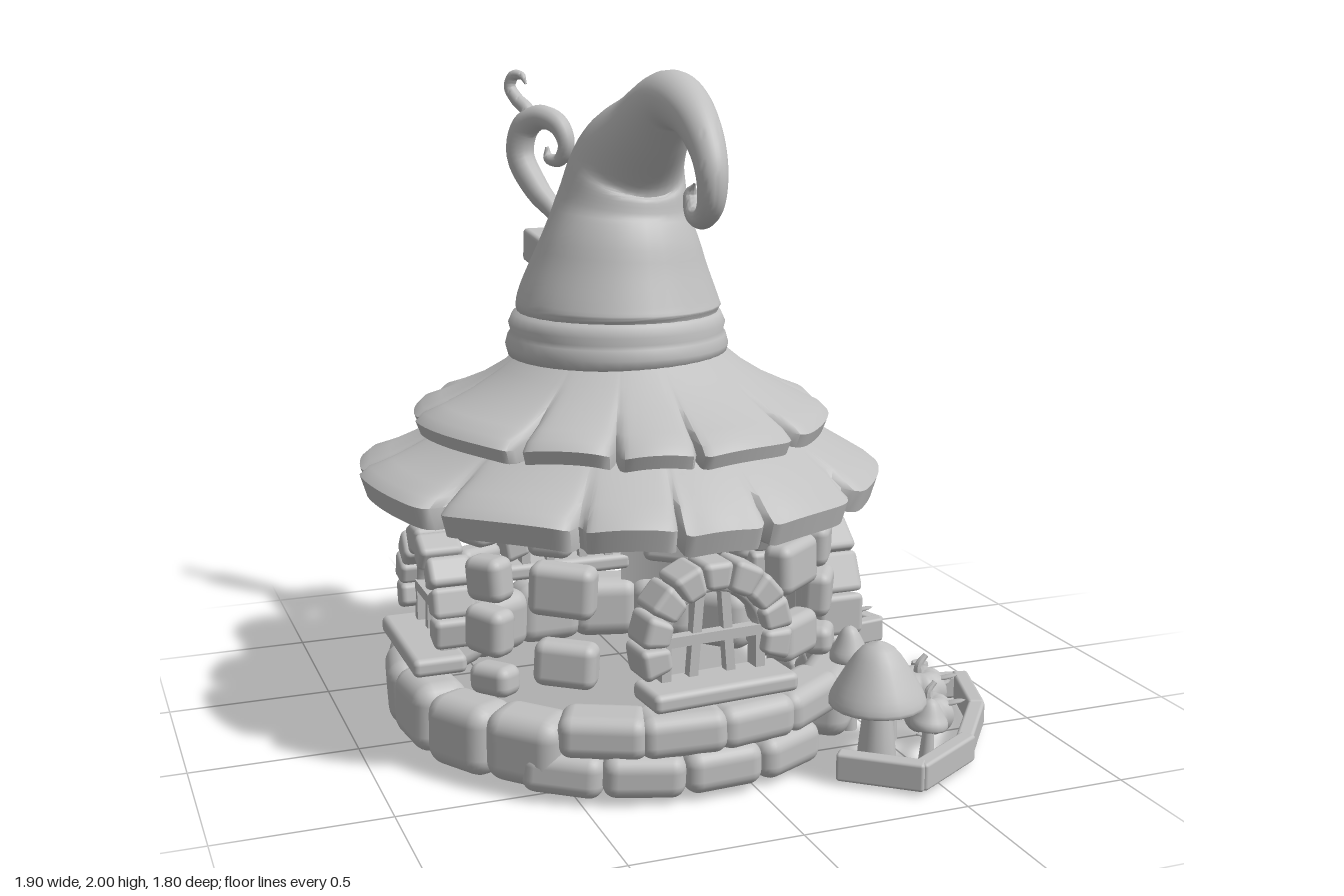
import * as THREE from 'three';
import { mergeVertices, toCreasedNormals } from 'three/addons/utils/BufferGeometryUtils.js';
import { RoundedBoxGeometry } from 'three/addons/geometries/RoundedBoxGeometry.js';

const clay = new THREE.MeshStandardMaterial({ color: 0xc0c0c0, side: THREE.DoubleSide });
clay.name = 'grey clay';

let seed = 7;
const rnd = () => (seed = (seed * 16807) % 2147483647) / 2147483647;
const vary = (a) => (rnd() - 0.5) * 2 * a;

function add(parent, name, geo, x = 0, y = 0, z = 0) {
  const m = new THREE.Mesh(geo, clay);
  m.name = name;
  m.position.set(x, y, z);
  parent.add(m);
  return m;
}

function group(parent, name, x = 0, y = 0, z = 0) {
  const g = new THREE.Group();
  g.name = name;
  g.position.set(x, y, z);
  parent.add(g);
  return g;
}

// Group on the round wall; its +z points outwards
function facing(parent, name, theta, r) {
  const g = group(parent, name, Math.sin(theta) * r, 0, Math.cos(theta) * r);
  g.rotation.y = theta;
  return g;
}

// Surface over a grid: u runs around, v runs along
function grid(nu, nv, at, skip = () => false) {
  const pos = [], idx = [];
  for (let j = 0; j <= nv; j++)
    for (let i = 0; i <= nu; i++) pos.push(...at((i % nu) / nu, j));
  for (let j = 0; j < nv; j++)
    for (let i = 0; i < nu; i++) {
      if (skip(i / nu, j)) continue;
      const a = j * (nu + 1) + i, c = a + nu + 1;
      idx.push(a, c, a + 1, a + 1, c, c + 1);
    }
  const g = new THREE.BufferGeometry();
  g.setAttribute('position', new THREE.Float32BufferAttribute(pos, 3));
  g.setIndex(idx);
  return toCreasedNormals(mergeVertices(g), 0.75);
}

// Tapered tube through [x, y, z, radius] points, lying near one plane with normal "side"
function sweep(pts, side, sides = 20, steps = 60) {
  const path = new THREE.CatmullRomCurve3(pts.map((p) => new THREE.Vector3(p[0], p[1], p[2])));
  const radius = new THREE.SplineCurve(pts.map((p, i) => new THREE.Vector2(i, p[3])));
  return grid(sides, steps, (u, j) => {
    const t = j / steps, T = path.getTangent(t);
    const N = T.clone().cross(side).normalize(), S = N.clone().cross(T);
    const r = Math.max(radius.getPoint(t).y, 0.002), a = -u * Math.PI * 2;
    return path.getPoint(t).addScaledVector(S, Math.cos(a) * r).addScaledVector(N, Math.sin(a) * r).toArray();
  });
}

function stone(parent, name, w, h, d, x, y, z) {
  const m = add(parent, name, new RoundedBoxGeometry(w, h, d, 3, Math.min(w, h, d) * 0.34), x, y, z);
  m.rotation.set(vary(0.05), vary(0.05), vary(0.06));
  return m;
}

// Wedge stones set along an arc
function archStones(parent, name, cy, r0, r1, a0, a1, n, depth) {
  const rm = (r0 + r1) / 2, step = (a1 - a0) / n;
  for (let i = 0; i < n; i++) {
    const a = a0 + step * (i + 0.5), h = (r1 - r0) * (1 + vary(0.08));
    const g = new RoundedBoxGeometry(rm * step * 0.97, h, depth, 2, 0.018), p = g.attributes.position;
    for (let k = 0; k < p.count; k++) p.setX(k, p.getX(k) * (1 + p.getY(k) / rm));
    const m = add(parent, name, g, Math.sin(a) * rm, cy + Math.cos(a) * rm, vary(0.008));
    m.rotation.z = -a;
  }
}

// Ring of drooping shingles; rows are [radius, y, shingle influence]
function shingles(rows, n, phase, depth, hole) {
  const sizes = Array.from({ length: n }, () => vary(1));
  return grid(n * 26, rows.length - 1, (u, j) => {
    const th = u * Math.PI * 2, [r, y, k] = rows[j];
    const q = (u * n + 0.3 * Math.sin(th * 3 + phase) + phase + n) % n;
    const s = Math.abs((q % 1) * 2 - 1), size = sizes[Math.floor(q)] * (1 - s ** 8);
    const R = r + k * (size * 0.025 - depth * s ** 18 - 0.008 * s * s);
    const Y = y + k * (size * 0.022 + 0.016 * (0.5 - s * s) + 0.02 * s ** 18);
    return [Math.sin(th) * R, Y, Math.cos(th) * R];
  }, (u, j) => hole(u * Math.PI * 2, j));
}

function windowUnit(parent, theta) {
  const w = facing(parent, 'window', theta, 0.6);
  archStones(w, 'windowArchStone', 0.43, 0.15, 0.235, -1.95, 1.95, 9, 0.13);
  stone(w, 'windowSill', 0.45, 0.055, 0.16, 0, 0.3, 0.04).rotation.set(0, 0, 0);
  const frame = add(w, 'windowFrame', new THREE.TorusGeometry(0.15, 0.016, 6, 20, Math.PI), 0, 0.43, 0);
  frame.scale.z = 1.6;
  for (const s of [-1, 1]) {
    add(w, 'frameSide', new THREE.BoxGeometry(0.03, 0.12, 0.05), s * 0.148, 0.375, 0);
    add(w, 'windowBar', new THREE.BoxGeometry(0.028, 0.25, 0.03), s * 0.05, 0.44, 0).rotation.z = s * 0.08;
  }
  add(w, 'windowCrossbar', new THREE.BoxGeometry(0.3, 0.03, 0.035), 0, 0.44, 0.01);
}

function doorUnit(parent) {
  const d = facing(parent, 'door', Math.PI / 2, 0.6);
  d.position.z += 0.02;
  archStones(d, 'doorRingStone', 0.34, 0.228, 0.31, 0, Math.PI * 2, 14, 0.15);
  // Round door cut into upright planks
  for (let i = 0; i < 6; i++) {
    const x = -0.19 + i * 0.076, h = 2 * Math.sqrt(0.235 ** 2 - x * x);
    add(d, 'doorPlank', new RoundedBoxGeometry(0.075, h, 0.04, 2, 0.008), x, 0.34, 0);
  }
  for (const y of [0.21, 0.39]) {
    const hinge = add(d, 'hinge', new THREE.ConeGeometry(0.035, 0.18, 4), -0.12, y, 0.028);
    hinge.rotation.z = -Math.PI / 2;
    hinge.scale.z = 0.35;
  }
  add(d, 'lockPlate', new RoundedBoxGeometry(0.055, 0.1, 0.018, 2, 0.007), 0.1, 0.29, 0.028);
  add(d, 'knocker', new THREE.TorusGeometry(0.026, 0.008, 8, 16), 0.1, 0.265, 0.045);
  add(d, 'knob', new THREE.SphereGeometry(0.018, 10, 8), 0.1, 0.3, 0.045);
  stone(d, 'doorStep', 0.4, 0.05, 0.16, 0, 0.025, 0.05).rotation.set(0, 0, 0);
}

function mushroom(parent, x, z, r, capY, capH) {
  const m = group(parent, 'mushroom', x, 0, z);
  m.rotation.z = vary(0.06);
  const lathe = (pts, n) => new THREE.LatheGeometry(new THREE.SplineCurve(pts.map((p) => new THREE.Vector2(...p))).getPoints(16), n);
  add(m, 'mushroomCap', lathe([[r * 0.2, 0.015], [r * 0.9, -0.008], [r, 0.01], [r * 0.76, capH * 0.42], [r * 0.38, capH * 0.86], [0.001, capH]], 20), 0, capY, 0);
  add(m, 'mushroomStem', lathe([[r * 0.42, 0.02], [r * 0.38, capY * 0.4], [r * 0.25, capY + 0.02]], 12));
}

function pumpkin(parent, x, z, r) {
  const g = group(parent, 'pumpkin', x, 0.03 + r * 0.75, z);
  const geo = new THREE.SphereGeometry(r, 40, 14), p = geo.attributes.position;
  for (let i = 0; i < p.count; i++) {
    const a = Math.atan2(p.getZ(i), p.getX(i)), k = 0.86 + 0.14 * Math.abs(Math.cos(a * 4));
    const hollow = 1 - 0.3 * Math.exp(-((Math.hypot(p.getX(i), p.getZ(i)) / r) ** 2) * 8);
    p.setXYZ(i, p.getX(i) * k, p.getY(i) * 0.82 * hollow, p.getZ(i) * k);
  }
  geo.computeVertexNormals();
  add(g, 'pumpkinBody', geo);
  add(g, 'pumpkinStem', sweep([[0, r * 0.5, 0, r * 0.22], [0, r * 0.9, 0, r * 0.14], [r * 0.25, r * 1.2, 0, r * 0.1]], new THREE.Vector3(0, 0, 1), 8, 8));
  for (const a of [0.6, 2.4]) leaf(g, Math.cos(a) * r * 0.9, r * 0.5, Math.sin(a) * r * 0.9, a);
}

function leaf(parent, x, y, z, a) {
  const m = add(parent, 'leaf', new THREE.SphereGeometry(0.04, 8, 6), x, y, z);
  m.scale.set(1, 0.15, 0.5);
  m.rotation.set(0, -a, 0.3);
}

// Low border of separate beams
function garden(parent, s) {
  const g = group(parent, s > 0 ? 'frontGarden' : 'backGarden');
  const pts = [[0.54, 0.23], [0.88, 0.29], [0.8, 0.52], [0.64, 0.74], [0.42, 0.88], [0.24, 0.73]];
  for (let i = 0; i + 1 < pts.length; i++) {
    const [x0, z0] = pts[i], [x1, z1] = pts[i + 1], dx = x1 - x0, dz = (z1 - z0) * s;
    const beam = add(g, 'borderBeam', new RoundedBoxGeometry(Math.hypot(dx, dz) + 0.02, 0.08 + vary(0.006), 0.05, 2, 0.01), (x0 + x1) / 2, 0.054, ((z0 + z1) / 2) * s);
    beam.rotation.y = -Math.atan2(dz, dx) + vary(0.03);
  }
}

export function createModel() {
  seed = 7;
  const root = new THREE.Group();
  root.name = 'hatCottage';
  const house = group(root, 'house', -0.15, 0, -0.02);

  // Stone footing, left open at the door; two courses under the front window
  const H = Math.PI / 2;
  for (let i = 0; i < 16; i++) {
    const step = (Math.PI * 2 - 1.04) / 16, th = H + 0.52 + (i + 0.5) * step;
    if (i > 10 && i < 15) {
      stone(facing(house, 'footing', th, 0.65), 'footingStone', 0.255, 0.125, 0.16, 0, 0.19, 0);
      stone(facing(house, 'footing', th - step / 2, 0.665), 'footingStone', 0.235, 0.125, 0.15, 0, 0.08, 0);
    } else stone(facing(house, 'footing', th, 0.655), 'footingStone', 0.24, 0.21, 0.17, 0, 0.13 + vary(0.01), 0);
  }

  // Plaster wall on the sheltered corner
  add(house, 'plasterWall', new THREE.CylinderGeometry(0.575, 0.61, 0.5, 16, 1, true, H + 0.4, H - 0.72), 0, 0.45, 0);
  add(house, 'plasterBand', new THREE.CylinderGeometry(0.555, 0.575, 0.2, 24, 1, true, H - 0.2, H + 0.5), 0, 0.74, 0);

  // Loose wall stones between the openings
  const spots = [[-0.24, 0.43, 0.14, 0.14], [0.18, 0.37, 0.18, 0.13], [0.16, 0.58, 0.19, 0.15], [-0.25, 0.58, 0.13, 0.13], [0.1, 0.72, 0.13, 0.09], [-0.2, 0.29, 0.14, 0.09], [-0.34, 0.71, 0.12, 0.08]];
  for (let q = 0; q < 4; q++)
    for (const [o, y, w, h] of spots) {
      const f = facing(house, 'wallStones', Math.PI / 4 + q * H + (q % 2 ? o : -o), 0.63 - y * 0.06);
      stone(f, 'wallStone', w, h, 0.09, 0, y, 0);
    }

  for (const th of [0.08, Math.PI, -H]) windowUnit(house, th);
  doorUnit(house);

  // Two tiers of roof shingles with a gap at the back
  const gap = (th) => th > 3.52 && th < 3.92;
  add(house, 'lowerRoof', shingles([[0.42, 1.03, 0], [0.5, 0.97, 0], [0.6, 0.91, 0.1], [0.7, 0.855, 0.5], [0.755, 0.825, 1], [0.785, 0.8, 1], [0.765, 0.735, 1], [0.72, 0.735, 1], [0.54, 0.83, 0]], 13, 0.3, 0.09,
    (th, j) => gap(th) && j < 3));
  add(house, 'upperRoof', shingles([[0.29, 1.18, 0], [0.37, 1.115, 0], [0.46, 1.06, 0.15], [0.55, 1.015, 0.6], [0.605, 0.99, 1], [0.63, 0.965, 1], [0.615, 0.925, 1], [0.57, 0.925, 1], [0.44, 1.02, 0]], 11, 0.75, 0.1,
    (th, j) => gap(th) && j > 1));

  // Pointed hat top with a folded crown and curled tip
  const band = [[0.3, 1.14], [0.33, 1.15], [0.338, 1.18], [0.33, 1.21], [0.322, 1.222], [0.328, 1.245], [0.315, 1.275], [0.28, 1.29]];
  add(house, 'hatBand', new THREE.LatheGeometry(band.map((p) => new THREE.Vector2(...p)), 40), -0.015, 0, -0.01);
  add(root, 'hat', sweep([
    [-0.16, 1.27, -0.03, 0.3], [-0.16, 1.31, -0.03, 0.308], [-0.155, 1.45, -0.025, 0.255], [-0.145, 1.6, -0.025, 0.2], [-0.135, 1.72, 0.01, 0.17],
    [-0.12, 1.82, 0.13, 0.125], [-0.105, 1.912, 0.28, 0.088], [-0.095, 1.88, 0.41, 0.066], [-0.09, 1.8, 0.505, 0.052], [-0.09, 1.72, 0.545, 0.044],
    [-0.09, 1.645, 0.535, 0.038], [-0.09, 1.603, 0.48, 0.031], [-0.09, 1.61, 0.41, 0.026], [-0.09, 1.66, 0.39, 0.021], [-0.09, 1.69, 0.415, 0.004],
  ], new THREE.Vector3(1, 0, 0), 32, 90));

  // Chimney with bricks, cap and curling smoke
  const chimney = group(root, 'chimney', -0.16, 0, 0);
  add(chimney, 'chimneyStack', sweep([[0, 1.0, -0.42, 0.1], [0, 1.1, -0.47, 0.095], [0, 1.22, -0.51, 0.09], [0, 1.36, -0.53, 0.085]], new THREE.Vector3(1, 0, 0), 12, 12));
  [[1.09, -0.47], [1.19, -0.505], [1.28, -0.52]].forEach(([y, z], k) => {
    for (let i = 0; i < 4; i++) {
      const a = i * 1.571 + k * 0.7;
      stone(chimney, 'chimneyBrick', 0.08, 0.065, 0.035, Math.sin(a) * 0.085, y + vary(0.01), z + Math.cos(a) * 0.085).rotation.y = a;
    }
  });
  add(chimney, 'chimneyCap', new RoundedBoxGeometry(0.24, 0.11, 0.23, 2, 0.015), 0, 1.4, -0.53).rotation.x = 0.1;
  const across = new THREE.Vector3(0.87, 0, -0.5);
  const puff = (pts) => sweep(pts.map(([z, y, r]) => [-0.16 + (z + 0.53) * 0.62, y, z, r]), across, 12, 50);
  add(root, 'smokeCurl', puff([[-0.54, 1.42, 0.015], [-0.56, 1.5, 0.028], [-0.64, 1.59, 0.042], [-0.7, 1.7, 0.047], [-0.68, 1.79, 0.046], [-0.62, 1.825, 0.04], [-0.555, 1.8, 0.034], [-0.53, 1.74, 0.028], [-0.555, 1.69, 0.022], [-0.595, 1.695, 0.018], [-0.6, 1.73, 0.006]]));
  add(root, 'smokeWisp', puff([[-0.69, 1.78, 0.035], [-0.67, 1.84, 0.025], [-0.71, 1.88, 0.022], [-0.735, 1.92, 0.02], [-0.72, 1.955, 0.018], [-0.69, 1.955, 0.013], [-0.675, 1.93, 0.004]]));

  // Two fenced garden beds
  garden(root, 1);
  garden(root, -1);
  [[0.37, 0.7, 0.14, 0.22, 0.18], [0.49, 0.53, 0.075, 0.17, 0.09], [0.52, 0.72, 0.055, 0.13, 0.08], [0.42, 0.42, 0.06, 0.25, 0.1],
    [0.36, -0.71, 0.11, 0.2, 0.14], [0.53, -0.52, 0.08, 0.15, 0.1], [0.47, -0.73, 0.06, 0.12, 0.09]].forEach((p) => mushroom(root, ...p));
  [[0.68, 0.38, 0.09], [0.62, 0.55, 0.08], [0.69, -0.41, 0.1]].forEach((p) => pumpkin(root, ...p));
  [[0.83, 0.12, -0.31, 0.5], [0.57, 0.05, -0.63, 1.9], [0.78, 0.08, 0.33, 0.2], [0.56, 0.06, 0.63, 2.4]].forEach((p) => leaf(root, ...p));

  // Stepping stones before the door
  [[0.76, -0.1, 0.065], [0.76, 0.1, 0.075], [0.91, -0.03, 0.03]].forEach(([x, z, r], i) => {
    add(root, 'steppingStone', new THREE.CylinderGeometry(r * 0.9, r, 0.014, 5 + i), x, 0.007, z).rotation.y = i * 0.9 + 0.3;
  });
  return root;
}
